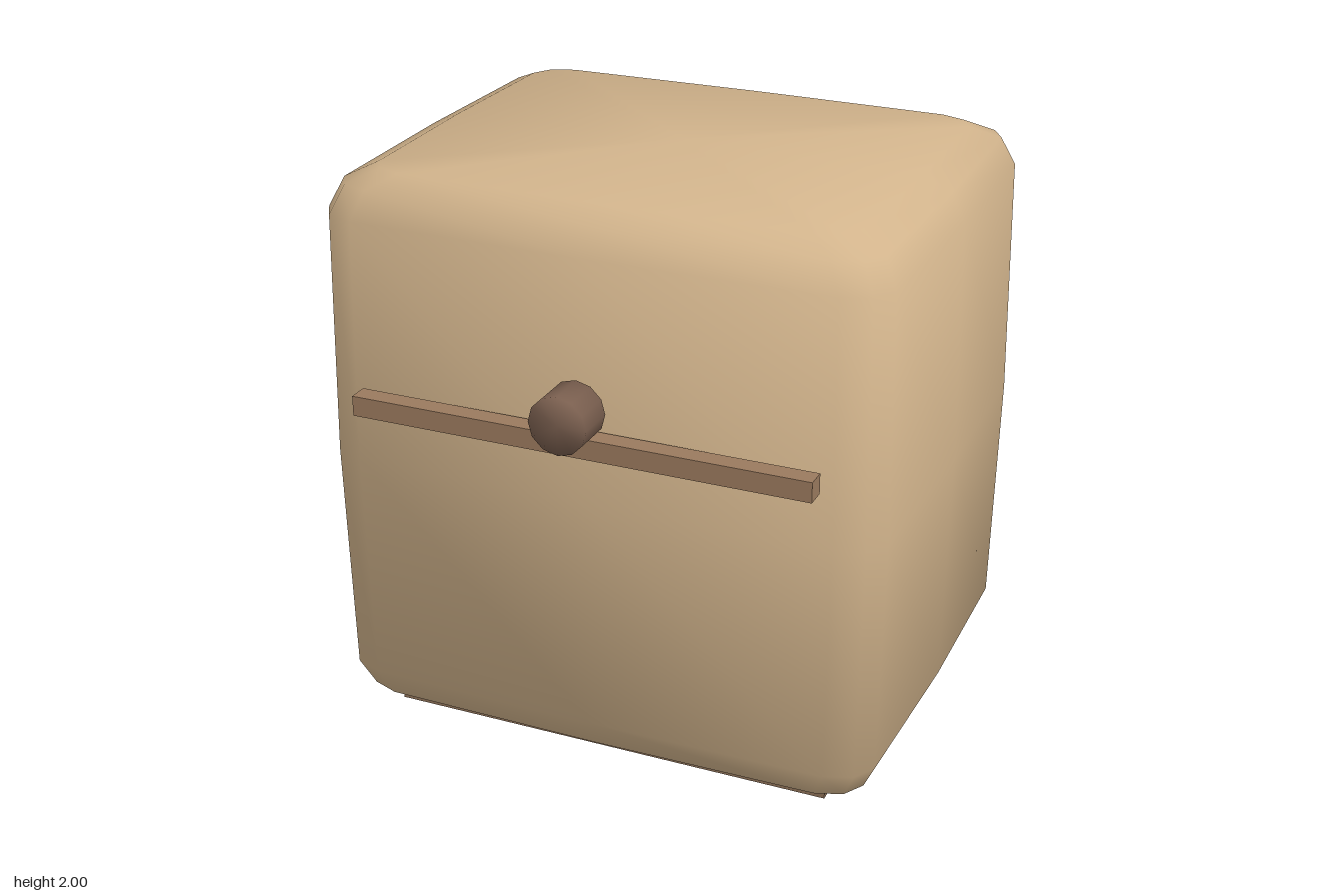
import * as THREE from 'three';
import { mergeVertices } from 'three/addons/utils/BufferGeometryUtils.js';

const BODY_Z = -0.09;

// Signed power that pushes a sphere towards a box; tiny values snap to zero.
const squarish = (v) => (Math.abs(v) < 1e-6 ? 0 : Math.sign(v) * Math.abs(v) ** 0.18);

// Sphere squared off into a cushion-like block, keeping the sphere's soft normals.
function cushionGeometry(halfX, halfY, halfZ) {
  const geometry = new THREE.SphereGeometry(1, 16, 8);
  const pos = geometry.attributes.position;
  for (let i = 0; i < pos.count; i++) {
    const x = pos.getX(i), y = pos.getY(i), z = pos.getZ(i);
    const ring = Math.hypot(x, z);
    const r = squarish(ring);
    const cos = ring > 1e-6 ? x / ring : 0;
    const sin = ring > 1e-6 ? z / ring : 0;
    pos.setXYZ(i, halfX * r * squarish(cos), halfY * squarish(y), halfZ * r * squarish(sin));
  }
  return geometry;
}

// Short cylinder along z with normals blended over its rims.
function knobGeometry(radius, length) {
  const geometry = new THREE.CylinderGeometry(radius, radius, length, 12);
  geometry.rotateX(Math.PI / 2);
  geometry.deleteAttribute('normal');
  geometry.deleteAttribute('uv');
  const merged = mergeVertices(geometry, 1e-4);
  merged.computeVertexNormals();
  return merged;
}

export function createModel() {
  const model = new THREE.Group();

  const addPart = (name, geometry, color, x, y, z) => {
    const mesh = new THREE.Mesh(geometry, new THREE.MeshStandardMaterial({ color }));
    mesh.name = name;
    mesh.position.set(x, y, z);
    model.add(mesh);
  };

  // Main block
  addPart('body', cushionGeometry(1, 0.995, 0.79), 0xd2b48c, 0, 1.005, BODY_Z);

  // Thin plate under the block
  addPart('basePlate', new THREE.BoxGeometry(1.6, 0.06, 1.28), 0x8b6f56, 0, 0.03, -0.08);

  // Horizontal strip and the round knob above it
  addPart('frontBar', new THREE.BoxGeometry(1.6, 0.07, 0.07), 0x9a7a5e, 0, 1.24, 0.74);
  addPart('knob', knobGeometry(0.1, 0.14), 0x7a5f4f, 0, 1.36, 0.815);

  return model;
}
